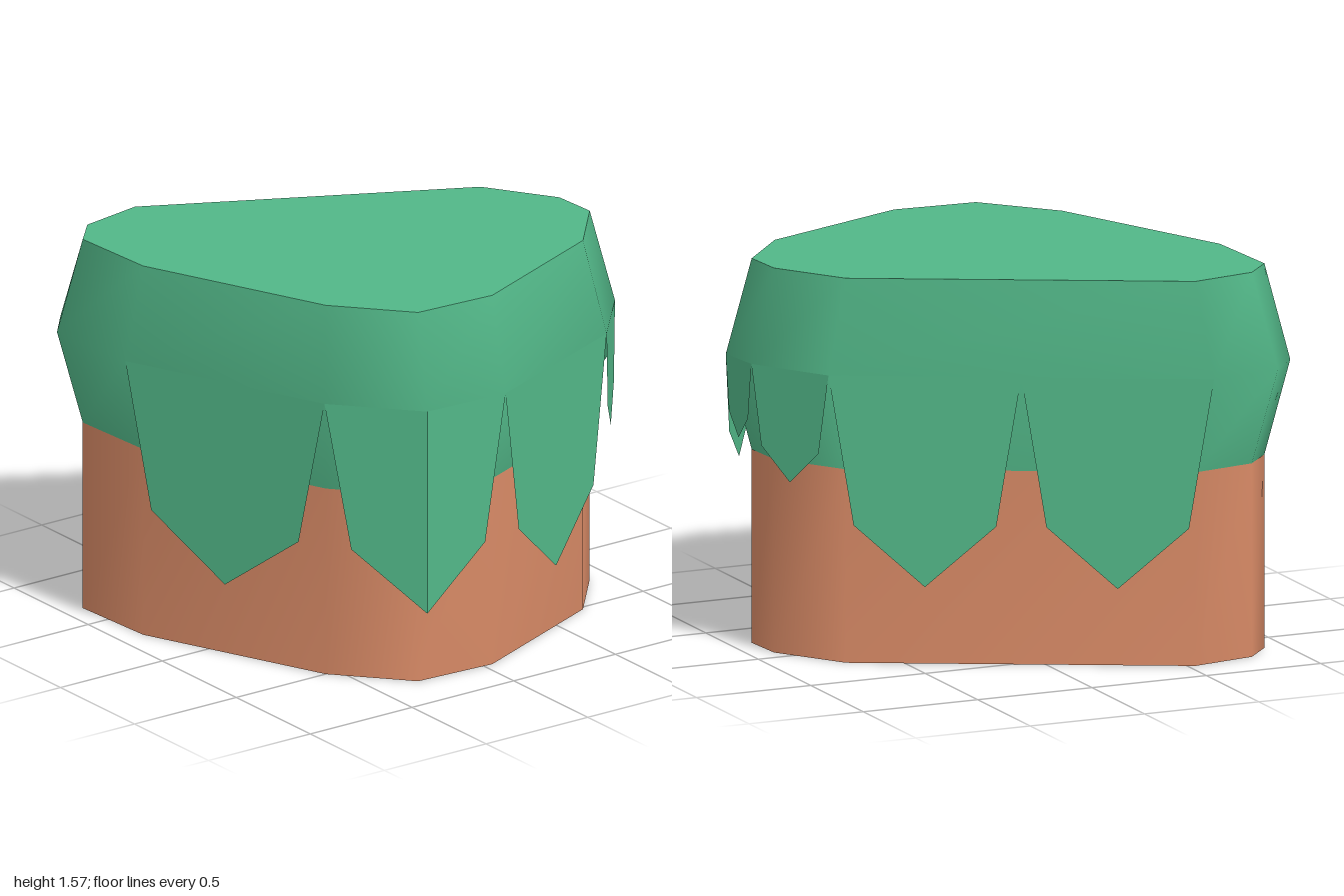
import * as THREE from 'three';

// Plan outlines as [x, z], clockwise seen from above
const INNER = [[-0.91, -0.66], [-0.8, -0.78], [-0.53, -0.83], [0.71, -0.2], [0.895, 0.08], [0.905, 0.27],
  [0.69, 0.52], [0.04, 0.8], [-0.31, 0.78], [-0.56, 0.5], [-0.89, -0.28]];
const OUTER = [[-1, -0.71], [-0.885, -0.845], [-0.58, -0.9], [0.785, -0.2], [0.98, 0.11], [1, 0.31],
  [0.755, 0.59], [0.04, 0.89], [-0.33, 0.87], [-0.61, 0.56], [-0.97, -0.29]];
const RIM_Y = 1.18;

function geometryFrom(positions, index) {
  const g = new THREE.BufferGeometry();
  g.setAttribute('position', new THREE.Float32BufferAttribute(positions, 3));
  g.setIndex(index);
  g.computeVertexNormals();
  return g;
}

// Smooth wall through stacked rings ({outline, y}, bottom to top)
function wall(rings) {
  const n = rings[0].outline.length;
  const positions = rings.flatMap(({ outline, y }) => outline.flatMap(([x, z]) => [x, y, z]));
  const index = [];
  for (let r = 0; r < rings.length - 1; r++) {
    for (let i = 0; i < n; i++) {
      const a = r * n + i, b = r * n + (i + 1) % n, d = a + n, c = b + n;
      index.push(b, a, d, b, d, c);
    }
  }
  return geometryFrom(positions, index);
}

// Flat convex lid facing up or down
function cap(outline, y, up) {
  const positions = outline.flatMap(([x, z]) => [x, y, z]);
  const index = [];
  for (let i = 1; i < outline.length - 1; i++) {
    index.push(0, up ? i + 1 : i, up ? i : i + 1);
  }
  return geometryFrom(positions, index);
}

const mix = (a, b, t) => [a[0] + (b[0] - a[0]) * t, a[1] + (b[1] - a[1]) * t];

// Pointed hanging flap from a to b, folded along its middle m
function flap(a, m, b, tipY) {
  const shoulderY = RIM_Y + (tipY - RIM_Y) * 0.71;
  const at = ([x, z], y) => [x, y, z];
  const half = (p, flip) => {
    const corners = [at(p, RIM_Y), at(m, RIM_Y), at(m, tipY), at(mix(p, m, 0.26), shoulderY)];
    if (flip) corners.reverse();
    return corners.flat();
  };
  return geometryFrom([...half(a, true), ...half(b, false)].map((v) => v),
    [0, 2, 1, 0, 3, 2, 4, 6, 5, 4, 7, 6].map((v) => v));
}

export function createModel() {
  const model = new THREE.Group();
  const clay = new THREE.MeshStandardMaterial({ color: 0xd88a66 });
  clay.name = 'clay';
  const grass = new THREE.MeshStandardMaterial({ color: 0x52b788, side: THREE.DoubleSide });
  grass.name = 'grass green';

  const add = (name, geometry, material, parent = model) => {
    const mesh = new THREE.Mesh(geometry, material);
    mesh.name = name;
    parent.add(mesh);
  };

  // Earth column
  add('earthWall', wall([{ outline: INNER, y: 0 }, { outline: INNER, y: 0.79 }]), clay);
  add('earthBase', cap(INNER, 0, false), clay);

  // Bulging grass layer
  add('grassBand', wall([{ outline: INNER, y: 0.79 }, { outline: OUTER, y: RIM_Y }, { outline: INNER, y: 1.57 }]), grass);
  add('grassTop', cap(INNER, 1.57, true), grass);

  // Hanging grass flaps around the rim
  const flaps = new THREE.Group();
  flaps.name = 'grassFlaps';
  model.add(flaps);
  const straight = (a, b, tipY) => add('grassFlap', flap(a, mix(a, b, 0.5), b, tipY), grass, flaps);
  const backMiddle = mix(OUTER[2], OUTER[3], 0.5);
  straight(OUTER[2], backMiddle, 0.32);
  straight(backMiddle, OUTER[3], 0.32);
  straight(OUTER[3], OUTER[4], 0.72);
  straight(OUTER[4], OUTER[5], 0.86);
  straight(OUTER[5], OUTER[6], 0.72);
  straight(OUTER[6], OUTER[7], 0.32);
  add('cornerGrassFlap', flap(OUTER[7], OUTER[8], OUTER[9], 0.32), grass, flaps);
  straight(OUTER[9], OUTER[10], 0.32);

  return model;
}
